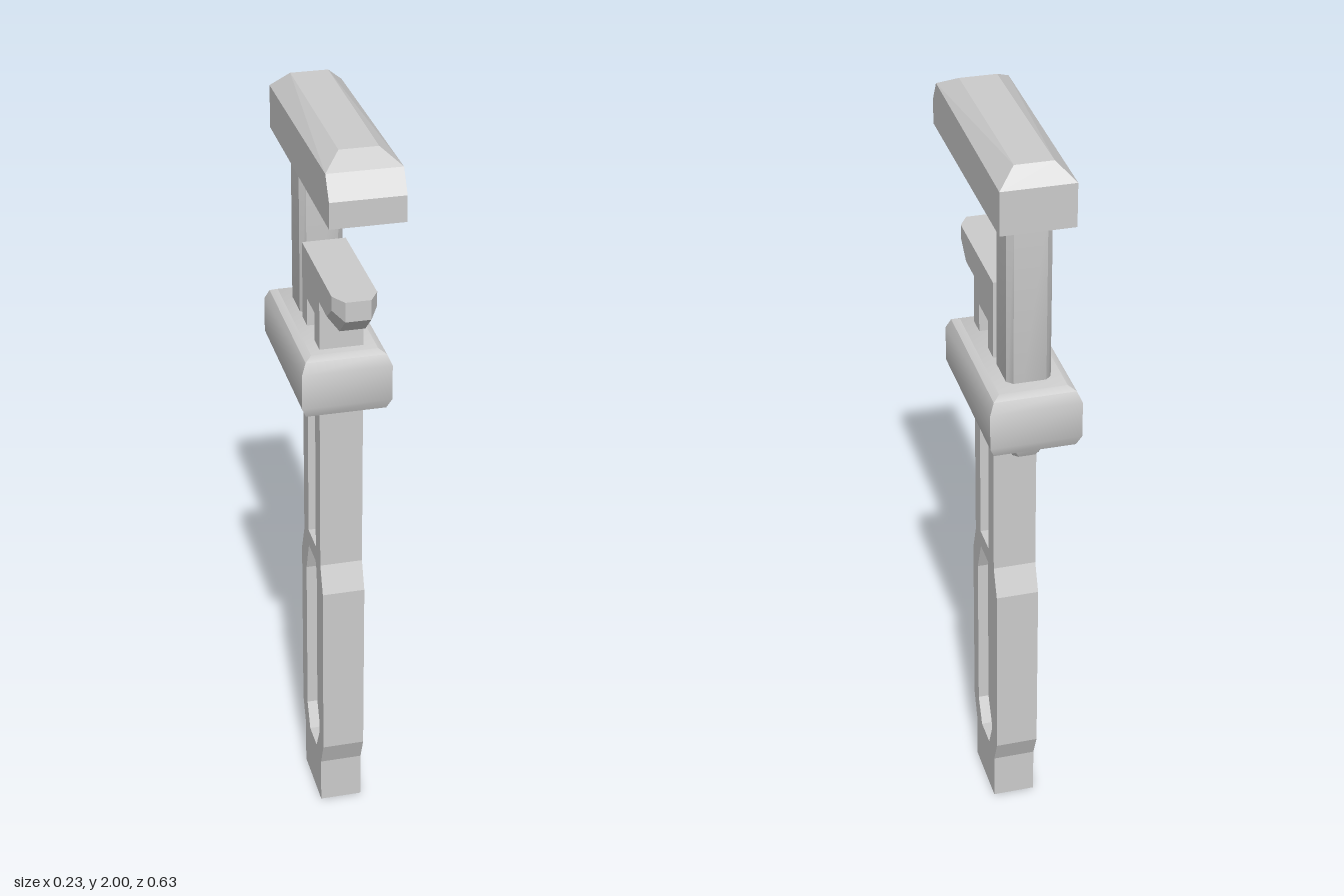
import * as THREE from 'three';
import { toCreasedNormals } from 'three/addons/utils/BufferGeometryUtils.js';
import { ConvexGeometry } from 'three/addons/geometries/ConvexGeometry.js';

const material = new THREE.MeshStandardMaterial({ color: 0xcccccc });

function addPart(parent, name, geometry) {
  const mesh = new THREE.Mesh(geometry, material);
  mesh.name = name;
  parent.add(mesh);
  return mesh;
}

const points2 = (list) => list.map(([z, y]) => new THREE.Vector2(z, y));

// Extrudes a side profile of [z, y] points across x, from x0 to x1
function sidePlate(profile, holes, x0, x1) {
  const shape = new THREE.Shape(points2(profile));
  for (const hole of holes) shape.holes.push(new THREE.Path(points2(hole)));
  const geometry = new THREE.ExtrudeGeometry(shape, { depth: x1 - x0, bevelEnabled: false });
  return geometry.rotateY(-Math.PI / 2).translate(x1, 0, 0);
}

// Convex solid from [halfWidth, z, y] points mirrored in x
function mirroredHull(list) {
  const points = [];
  for (const [w, z, y] of list) {
    points.push(new THREE.Vector3(w, y, z), new THREE.Vector3(-w, y, z));
  }
  return new ConvexGeometry(points);
}

// Stacks closed rings of equal corner count (counter-clockwise from above) and caps both ends
function loft(rings) {
  const n = rings[0].length;
  const pos = rings.flat(2);
  const index = [];
  for (let r = 0; r < rings.length - 1; r++) {
    for (let i = 0; i < n; i++) {
      const a = r * n + i, b = r * n + (i + 1) % n;
      index.push(a, b, b + n, a, b + n, a + n);
    }
  }
  const top = (rings.length - 1) * n;
  for (let i = 1; i < n - 1; i++) {
    index.push(0, i + 1, i, top, top + i, top + i + 1);
  }
  const geometry = new THREE.BufferGeometry();
  geometry.setAttribute('position', new THREE.Float32BufferAttribute(pos, 3));
  geometry.setIndex(index);
  return toCreasedNormals(geometry, 0.6);
}

// Rectangle with chamfered corners (c = 0 gives a plain rectangle)
function ring(y, hx, hz, zc, c) {
  const corners = c
    ? [[hx, hz - c], [hx - c, hz], [c - hx, hz], [-hx, hz - c],
       [-hx, c - hz], [c - hx, -hz], [hx - c, -hz], [hx, c - hz]]
    : [[hx, hz], [-hx, hz], [-hx, -hz], [hx, -hz]];
  return corners.map(([x, z]) => [x, y, zc + z]).reverse();
}

export function createModel() {
  const wrench = new THREE.Group();
  wrench.name = 'wrench';

  // Handle: solid core between two side plates with cut-outs that form the recesses
  const handle = new THREE.Group();
  handle.name = 'handle';
  handle.position.x = -0.002;
  wrench.add(handle);
  const outline = [
    [0.072, 0], [0.072, 0.13], [0.1, 0.2], [0.1, 0.7], [0.072, 0.775], [0.072, 1.617],
    [-0.114, 1.617], [-0.114, 0.775], [-0.144, 0.7], [-0.144, 0.2], [-0.114, 0.13], [-0.114, 0],
  ];
  const slot = [[0.021, 0.803], [0.021, 1.486], [-0.063, 1.486], [-0.063, 0.803]];
  const gripRecess = [
    [0.018, 0.148], [0.053, 0.217], [0.053, 0.667], [0.018, 0.757],
    [-0.06, 0.757], [-0.091, 0.667], [-0.091, 0.217], [-0.06, 0.148],
  ];
  addPart(handle, 'handleCore', sidePlate(outline, [], -0.028, 0.028));
  addPart(handle, 'leftHandleSide', sidePlate(outline, [slot, gripRecess], 0.028, 0.056));
  addPart(handle, 'rightHandleSide', sidePlate(outline, [slot, gripRecess], -0.056, -0.028));

  // Lower jaw: bevelled nose and underside
  addPart(handle, 'lowerJaw', mirroredHull([
    [0.056, 0.072, 1.617], [0.056, 0.2, 1.617], [0.056, 0.2, 1.58],
    [0.056, 0.15, 1.54], [0.056, 0.072, 1.54],
    [0.032, 0.24, 1.617], [0.032, 0.24, 1.565], [0.032, 0.182, 1.513], [0.032, 0.072, 1.513],
  ]));

  // Collar holding the handle and the sliding post
  const collarSteps = [
    [1.24, 0.03], [1.25, 0.012], [1.278, 0], [1.372, 0], [1.4, 0.012], [1.41, 0.03],
  ];
  addPart(wrench, 'collar', loft(collarSteps.map(
    ([y, inset]) => ring(y, 0.115 - inset, 0.221 - inset, -0.094, 0))));

  // Post: chamfered bar with a tapered foot
  const post = addPart(wrench, 'post', loft([
    ring(1.185, 0.034, 0.036, -0.189, 0.012),
    ring(1.23, 0.056, 0.058, -0.189, 0.015),
    ring(1.86, 0.056, 0.058, -0.189, 0.015),
  ]));
  post.position.x = -0.002;

  // Upper jaw: long block with sloped top edges and nose
  addPart(wrench, 'upperJaw', mirroredHull([
    [0.092, 0.318, 1.846], [0.092, 0.318, 1.912], [0.092, 0.283, 1.968],
    [0.092, -0.315, 1.957], [0.092, -0.315, 1.846],
    [0.048, 0.227, 2], [0.048, -0.275, 2],
  ]));

  return wrench;
}
